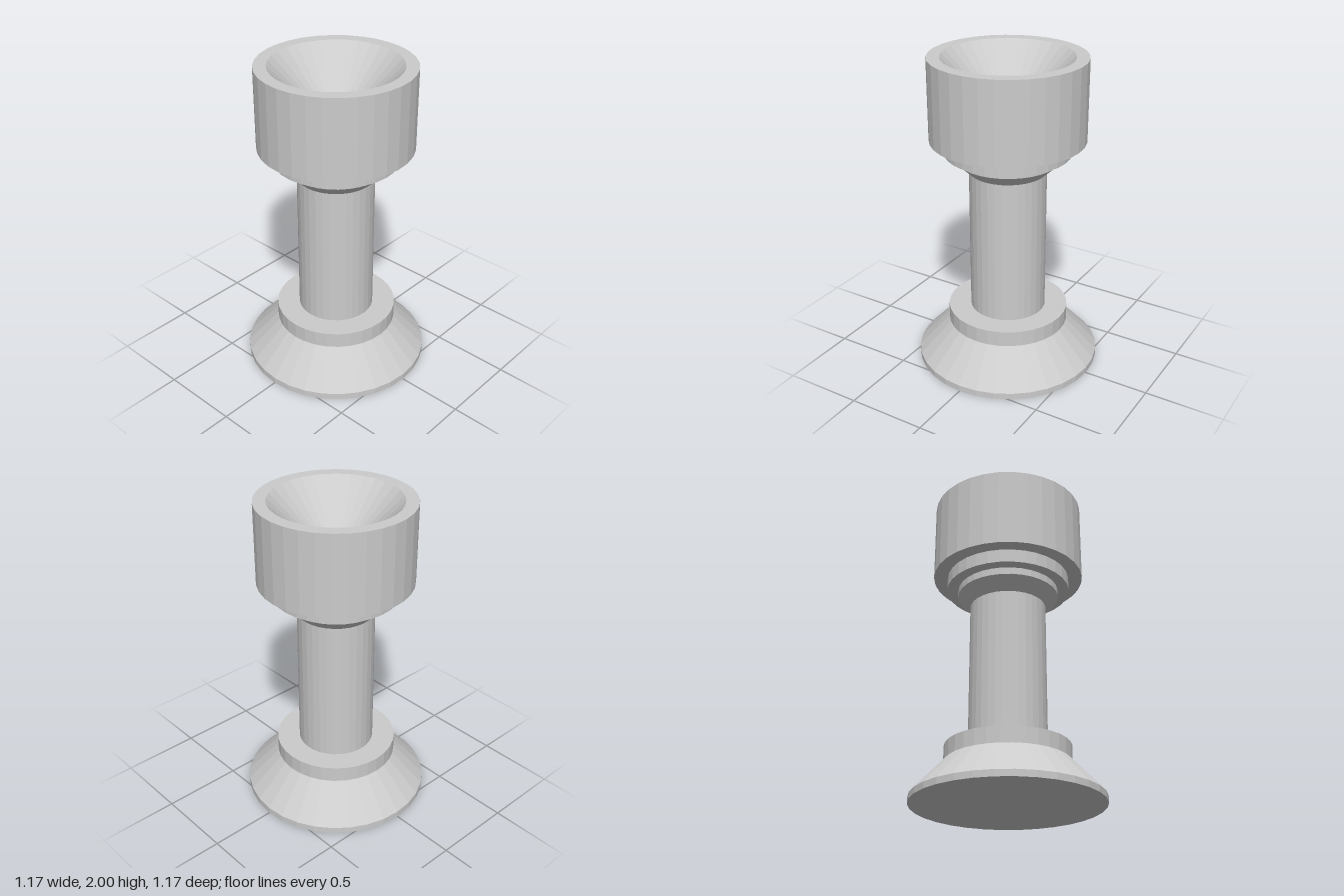
import * as THREE from 'three';

const SIDES = 32;
const material = new THREE.MeshStandardMaterial({ color: 0xcccccc, flatShading: true });

// Turned part from a [radius, height] profile, listed from the bottom up
function turned(name, profile) {
  const points = profile.map(([r, y]) => new THREE.Vector2(r, y));
  const mesh = new THREE.Mesh(new THREE.LatheGeometry(points, SIDES), material);
  mesh.name = name;
  return mesh;
}

export function createModel() {
  const group = new THREE.Group();
  group.name = 'pedestalCup';

  group.add(
    // Flared foot with a thin rim and a raised step
    turned('base', [[0, 0], [0.583, 0], [0.583, 0.04], [0.383, 0.255], [0.383, 0.355], [0.24, 0.355]]),
    // Plain round stem
    turned('column', [[0.24, 0.355], [0.24, 1.285]]),
    // Flared collar and wider ring under the cup
    turned('collar', [[0.24, 1.285], [0.32, 1.36], [0.32, 1.405], [0.39, 1.405], [0.39, 1.49]]),
    // Cup with a conical hollow and a flat floor
    turned('cup', [[0.39, 1.49], [0.478, 1.49], [0.478, 2], [0.4, 2], [0.132, 1.73], [0, 1.73]])
  );
  return group;
}
